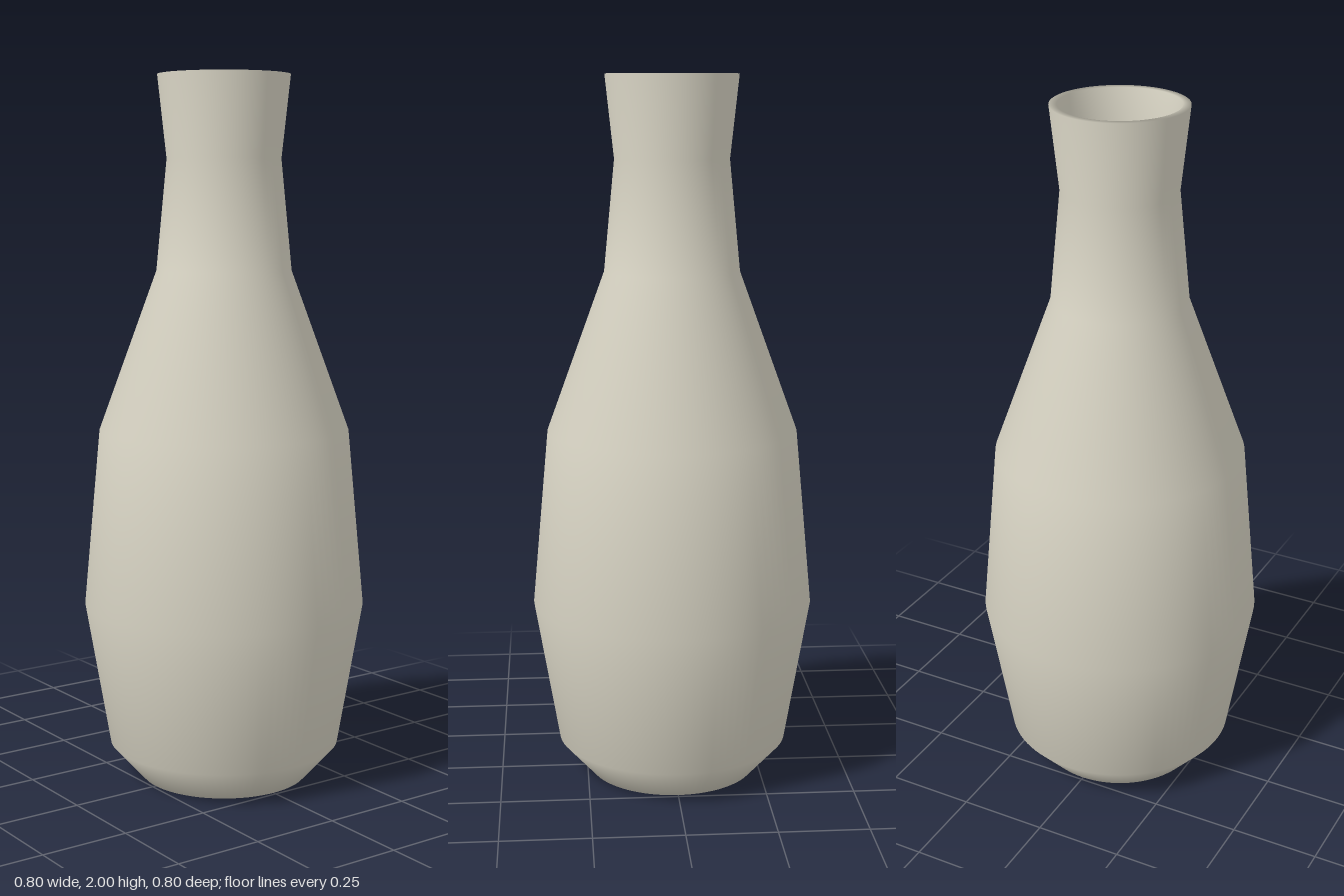
import * as THREE from 'three';

export function createModel() {
  const group = new THREE.Group();
  group.name = 'vase';

  const ceramic = new THREE.MeshStandardMaterial({ color: 0xd8d4c4 });
  ceramic.name = 'warm grey ceramic';

  // Outer wall from foot to rim: radius, height
  const outer = [
    [0.24, 0], [0.33, 0.1], [0.4, 0.51], [0.354, 1.01],
    [0.19, 1.46], [0.16, 1.77], [0.185, 2],
  ];
  // Inner wall follows the outer one at the wall thickness, with a raised floor
  const wall = 0.021;
  const inner = outer.map(([r, y]) => [r - wall, Math.max(y, wall)]).reverse();

  const profile = [[0, 0], ...outer, ...inner, [0, wall]]
    .map(([r, y]) => new THREE.Vector2(r, y));

  // One closed, smoothly shaded turned shell
  const body = new THREE.Mesh(new THREE.LatheGeometry(profile, 96), ceramic);
  body.name = 'vaseBody';
  group.add(body);

  return group;
}
